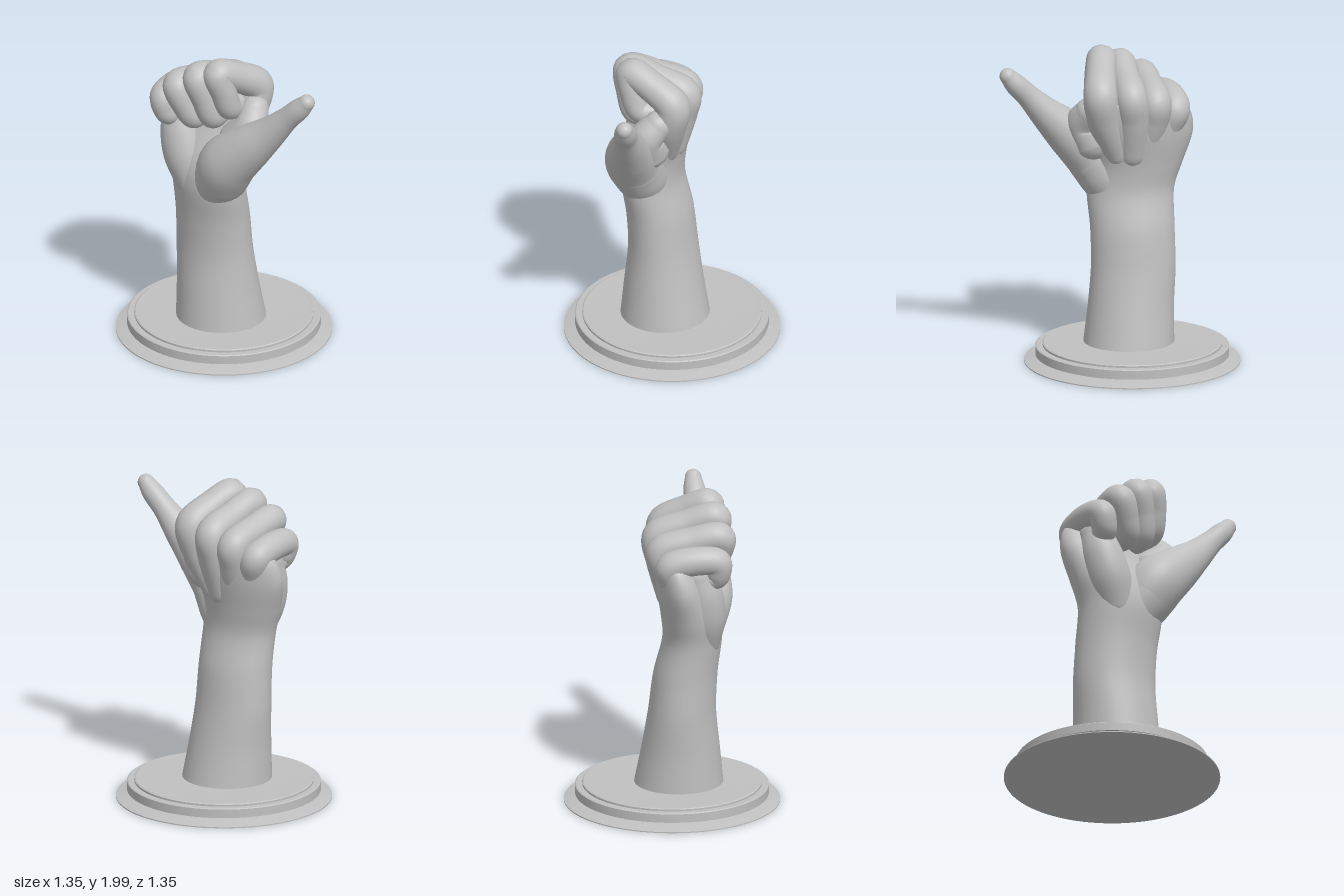
import * as THREE from 'three';
import { toCreasedNormals } from 'three/addons/utils/BufferGeometryUtils.js';

const SIDES = 32;
const V = (x, y, z) => new THREE.Vector3(x, y, z);
const spline = (pts) => new THREE.CatmullRomCurve3(pts, false, 'catmullrom', 0.45);

// Joins rings of SIDES points into one smooth skin
function skin(rings) {
  const pos = [], index = [];
  rings.forEach((ring) => ring.forEach((p) => pos.push(p.x, p.y, p.z)));
  for (let i = 0; i < rings.length - 1; i++) {
    for (let j = 0; j < SIDES; j++) {
      const a = i * SIDES + j, b = i * SIDES + (j + 1) % SIDES;
      index.push(a, b, b + SIDES, a, b + SIDES, a + SIDES);
    }
  }
  const g = new THREE.BufferGeometry();
  g.setAttribute('position', new THREE.Float32BufferAttribute(pos, 3));
  g.setIndex(index);
  g.computeVertexNormals();
  return g;
}

function ring(center, n, b, rn, rb) {
  return Array.from({ length: SIDES }, (_, j) => {
    const t = (j / SIDES) * Math.PI * 2;
    return center.clone().addScaledVector(n, Math.cos(t) * rn).addScaledVector(b, Math.sin(t) * rb);
  });
}

// Round limb through [x, y, z, radius] stations with domed ends
function limb(stations) {
  const path = spline(stations.map((s) => V(s[0], s[1], s[2])));
  const radii = spline(stations.map((s) => V(s[3], 0, 0)));
  const steps = (stations.length - 1) * 12, dome = 8;
  const rings = [];
  let n = V(0.87, 0, 0.48);
  const add = (t, shift, scale) => {
    const tan = path.getTangent(t), r = radii.getPoint(t).x;
    n = n.clone().addScaledVector(tan, -n.dot(tan)).normalize();
    const b = tan.clone().cross(n);
    rings.push(ring(path.getPoint(t).addScaledVector(tan, shift * r), n, b, r * scale, r * scale));
  };
  for (let i = 0; i < dome; i++) {
    const a = (i / dome) * Math.PI / 2;
    add(0, -Math.cos(a), Math.max(Math.sin(a), 0.002));
  }
  for (let i = 0; i <= steps; i++) add(i / steps, 0, 1);
  for (let i = 1; i <= dome; i++) {
    const a = (i / dome) * Math.PI / 2;
    add(1, Math.sin(a), Math.max(Math.cos(a), 0.002));
  }
  return skin(rings);
}

// Upright body through [y, centre x, centre z, half width, half depth, turn] stations
function body(stations) {
  const path = spline(stations.map((s) => V(s[1], s[0], s[2])));
  const size = spline(stations.map((s) => V(s[3], s[4], s[5])));
  const steps = (stations.length - 1) * 8, rings = [];
  for (let i = 0; i <= steps; i++) {
    const s = size.getPoint(i / steps);
    const c = Math.cos(s.z), d = Math.sin(s.z);
    rings.push(ring(path.getPoint(i / steps), V(c, 0, d), V(d, 0, -c), s.x, s.y));
  }
  return skin(rings);
}

export function createModel() {
  const model = new THREE.Group();
  const grey = new THREE.MeshStandardMaterial({ color: 0xc0c0c0 });
  grey.name = 'plain grey';
  const add = (name, geometry) => {
    const mesh = new THREE.Mesh(geometry, grey);
    mesh.name = name;
    model.add(mesh);
  };

  // Stepped round base with a thin flared foot
  const profile = [
    [0, 0], [0.675, 0], [0.675, 0.007], [0.6, 0.024], [0.56, 0.03], [0.56, 0.045], [0.605, 0.045],
    [0.605, 0.1], [0.598, 0.105], [0.56, 0.105], [0.56, 0.117], [0.552, 0.122], [0.5, 0.12], [0, 0.12],
  ].map((p) => new THREE.Vector2(p[0], p[1]));
  add('base', toCreasedNormals(new THREE.LatheGeometry(profile, 96), 0.5));

  // Forearm, wrist and flat of the hand in one skin
  add('forearmAndPalm', body([
    [0.11, -0.015, 0.04, 0.285, 0.28, 0.75],
    [0.35, -0.035, 0.04, 0.27, 0.245, 0.75],
    [0.6, -0.055, 0.037, 0.266, 0.212, 0.75],
    [0.85, -0.067, 0.055, 0.265, 0.2, 0.77],
    [1.08, -0.09, 0.09, 0.275, 0.185, 0.77],
    [1.25, -0.11, 0.055, 0.29, 0.18, 0.68],
    [1.45, -0.095, -0.01, 0.325, 0.155, 0.53],
    [1.6, -0.05, -0.03, 0.32, 0.13, 0.5],
    [1.7, 0.01, -0.02, 0.24, 0.1, 0.5],
    [1.76, 0.04, 0.0, 0.002, 0.002, 0.5],
  ]));

  // Heel of the hand on the little finger side
  add('palmHeel', limb([
    [-0.17, 1.08, 0.09, 0.13], [-0.23, 1.25, 0.07, 0.145],
    [-0.26, 1.4, 0.04, 0.135], [-0.26, 1.54, 0.0, 0.11],
  ]));

  // Fingers run up the back of the hand, over the knuckle and curl into the palm
  const fingers = {
    indexFinger: [
      [0.06, 1.35, 0.07, 0.09], [0.16, 1.58, 0.09, 0.115], [0.205, 1.74, 0.085, 0.108],
      [0.09, 1.84, 0.18, 0.097], [-0.02, 1.894, 0.265, 0.096], [0.01, 1.78, 0.27, 0.085],
      [0.045, 1.66, 0.24, 0.08], [0.1, 1.64, 0.13, 0.07],
    ],
    middleFinger: [
      [0.0, 1.35, 0.0, 0.1], [0.04, 1.58, -0.04, 0.11], [0.07, 1.725, -0.05, 0.102],
      [-0.04, 1.8, 0.09, 0.094], [-0.15, 1.85, 0.225, 0.095], [-0.105, 1.71, 0.24, 0.086],
      [-0.06, 1.585, 0.22, 0.08], [0.0, 1.58, 0.1, 0.07],
    ],
    ringFinger: [
      [-0.08, 1.35, -0.02, 0.1], [-0.08, 1.56, -0.1, 0.105], [-0.075, 1.68, -0.125, 0.1],
      [-0.18, 1.735, 0.02, 0.095], [-0.28, 1.765, 0.165, 0.094], [-0.23, 1.64, 0.185, 0.086],
      [-0.18, 1.555, 0.17, 0.078], [-0.12, 1.55, 0.06, 0.07],
    ],
    littleFinger: [
      [-0.17, 1.35, -0.02, 0.11], [-0.2, 1.52, -0.12, 0.105], [-0.22, 1.615, -0.165, 0.095],
      [-0.305, 1.655, -0.05, 0.092], [-0.37, 1.645, 0.075, 0.088], [-0.36, 1.57, 0.095, 0.082],
      [-0.335, 1.53, 0.085, 0.074], [-0.27, 1.53, 0.0, 0.07],
    ],
  };
  for (const [name, stations] of Object.entries(fingers)) add(name, limb(stations));

  // Thumb with its full fleshy root, pointing up and outward
  add('thumb', limb([
    [-0.04, 1.06, 0.15, 0.155], [0.0, 1.17, 0.21, 0.175], [0.05, 1.3, 0.28, 0.18],
    [0.185, 1.45, 0.365, 0.145], [0.31, 1.58, 0.43, 0.105], [0.42, 1.71, 0.49, 0.075],
    [0.5, 1.8, 0.53, 0.068], [0.546, 1.858, 0.555, 0.052],
  ]));

  // Web between the thumb and the index knuckle
  add('thumbWeb', limb([
    [0.12, 1.42, 0.22, 0.14], [0.18, 1.53, 0.25, 0.11], [0.2, 1.62, 0.18, 0.09],
  ]));

  return model;
}
